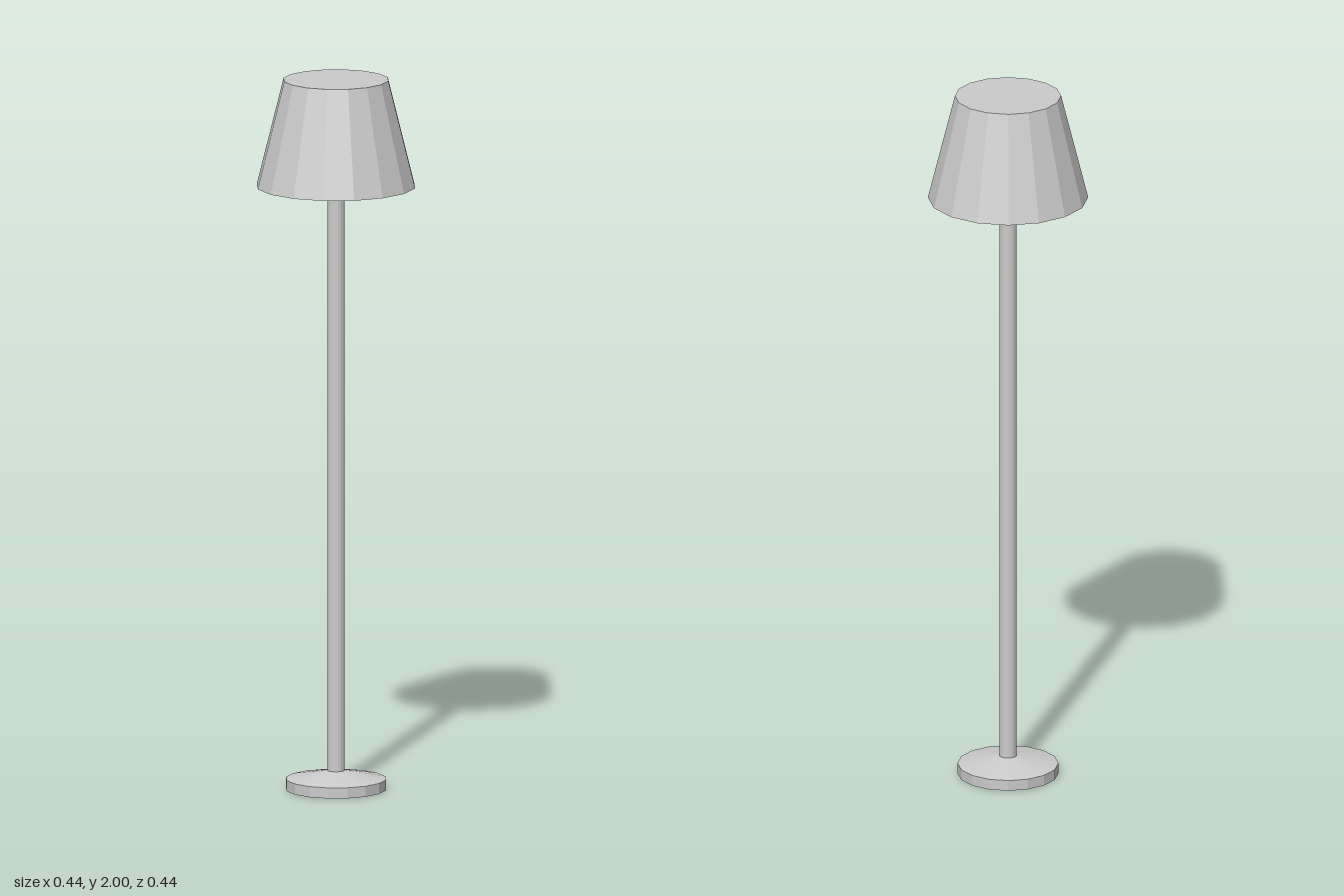
import * as THREE from 'three';

const SIDES = 16;

// Faceted turned part from [radius, height] pairs, listed bottom to top
function turned(name, profile, material) {
  const points = profile.map(([r, y]) => new THREE.Vector2(r, y));
  const mesh = new THREE.Mesh(new THREE.LatheGeometry(points, SIDES), material);
  mesh.name = name;
  return mesh;
}

export function createModel() {
  const material = new THREE.MeshStandardMaterial({ color: 0xcccccc, flatShading: true });
  const lamp = new THREE.Group();
  lamp.name = 'floorLamp';

  // Disc foot with a shallow conical top running up to the pole
  lamp.add(turned('base', [[0, 0], [0.14, 0], [0.14, 0.03], [0.024, 0.053]], material));

  // Slim straight pole
  lamp.add(turned('pole', [[0.024, 0.053], [0.024, 1.683]], material));

  // Closed tapered shade, its underside dipping slightly to the pole
  lamp.add(turned('shade', [[0.024, 1.683], [0.222, 1.7], [0.147, 2], [0, 2]], material));

  return lamp;
}
